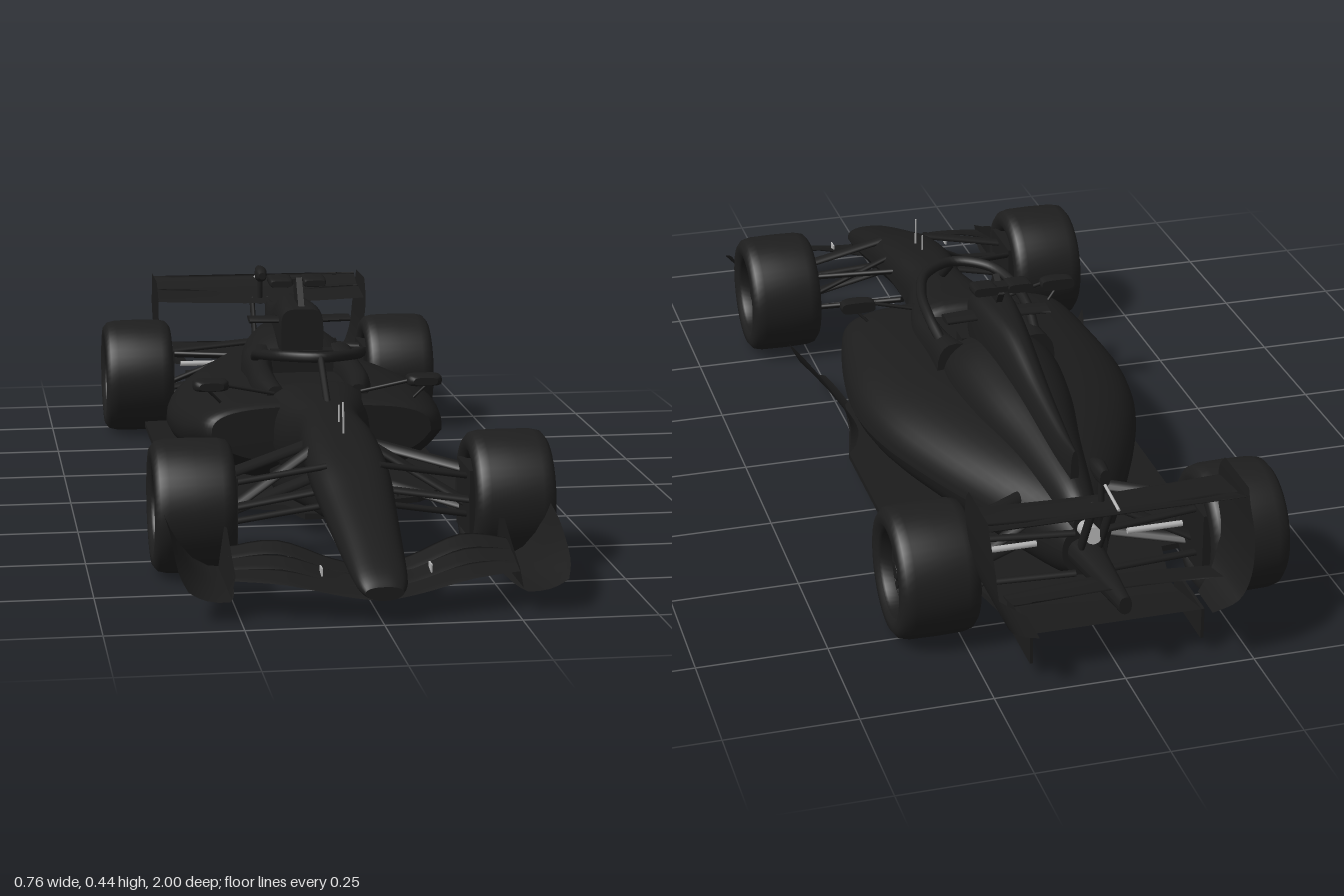
import * as THREE from 'three';

const mat = (name, color) => new THREE.MeshStandardMaterial({ name, color, side: THREE.DoubleSide });

// Catmull-Rom resampling of rows of numbers
function smooth(rows, steps) {
  const out = [], at = i => rows[Math.min(Math.max(i, 0), rows.length - 1)];
  for (let i = 0; i < rows.length - 1; i++) for (let s = 0; s < steps; s++) {
    const t = s / steps;
    out.push(rows[i].map((b, k) => {
      const a = at(i - 1)[k], c = at(i + 1)[k], d = at(i + 2)[k];
      return b + 0.5 * t * (c - a + t * (2 * a - 5 * b + 4 * c - d + t * (3 * (b - c) + d - a)));
    }));
  }
  return [...out, rows[rows.length - 1]];
}

// Surface through rows of [x, y, z] points
function sheet(rows) {
  const n = rows[0].length, idx = [];
  for (let i = 0; i < rows.length - 1; i++) for (let j = 0; j < n - 1; j++) {
    const a = i * n + j, b = a + n;
    idx.push(a, b, a + 1, b, b + 1, a + 1);
  }
  const g = new THREE.BufferGeometry();
  g.setAttribute('position', new THREE.Float32BufferAttribute(rows.flat(2), 3));
  g.setIndex(idx);
  g.computeVertexNormals();
  return g;
}

// Closes both ends of a stack of rings
function capped(rings) {
  const mid = r => { const c = [0, 1, 2].map(k => r.reduce((s, p) => s + p[k], 0) / r.length); return r.map(() => c); };
  const a = rings[0], b = rings[rings.length - 1];
  return sheet([mid(a), a, ...rings, b, mid(b)]);
}

// Lengthwise body: sections [z, centreX, halfWidth, yBottom, yTop, squareness, undercut]
function loft(sections, seg = 36) {
  const pw = (v, n) => Math.sign(v) * Math.abs(v) ** (2 / n);
  const rows = sections.map(s => [...s.slice(0, 6), s[6] ?? 0]);
  return capped(smooth(rows, 5).map(([z, cx, hw, yb, yt, n, cut]) =>
    Array.from({ length: seg + 1 }, (_, i) => {
      const a = i / seg * Math.PI * 2, v = pw(Math.sin(a), n);
      const k = v < 0 ? 1 + cut * v : 1;
      return [cx + pw(Math.cos(a), n) * hw * k, (yb + yt) / 2 + v * (yt - yb) / 2, z];
    })));
}

// Spanwise aerofoil: half stations [x, y, zLead, zTrail, rise], mirrored about x = 0
function wing(half, th) {
  const full = [...half.slice(1).reverse().map(([x, ...r]) => [-x, ...r]), ...half];
  return capped(smooth(full, 4).map(([x, y, zl, zt, rise]) =>
    Array.from({ length: 17 }, (_, i) => {
      const s = i <= 8 ? 1 : -1, u = i <= 8 ? i / 8 : (16 - i) / 8;
      return [x, y + rise * u ** 1.4 + s * th * Math.sqrt(u) * (1.1 - u), zl + (zt - zl) * u];
    })));
}

export function createModel() {
  const car = new THREE.Group();
  const carbon = mat('carbon', 0x1c1c1c), rubber = mat('rubber', 0x1e1e1e), metal = mat('bare metal', 0xb4b4b4);
  const add = (name, geo, m = carbon, parent = car) => {
    const o = new THREE.Mesh(geo, m);
    o.name = name;
    parent.add(o);
    return o;
  };
  const box = (name, w, h, d, x, y, z, m, p) => {
    const o = add(name, new THREE.BoxGeometry(w, h, d), m, p);
    o.position.set(x, y, z);
    return o;
  };
  const rod = (name, a, b, r, depth = 1, m = carbon) => {
    const A = new THREE.Vector3(...a), B = new THREE.Vector3(...b), d = B.clone().sub(A);
    const o = add(name, new THREE.CylinderGeometry(r, r, d.length(), 10), m);
    o.position.copy(A).add(B).multiplyScalar(0.5);
    o.quaternion.setFromUnitVectors(new THREE.Vector3(0, 1, 0), d.normalize());
    o.scale.z = depth;
  };
  const both = f => [1, -1].forEach(f);

  // Nose and cockpit tub
  add('nose and tub', loft([
    [1, 0, 0.035, 0.045, 0.07, 2.5, 0.2], [0.96, 0, 0.048, 0.04, 0.095, 2.5, 0.3], [0.85, 0, 0.058, 0.05, 0.138, 2.5, 0.4],
    [0.72, 0, 0.068, 0.075, 0.182, 2.6, 0.5], [0.6, 0, 0.076, 0.1, 0.22, 2.8, 0.5], [0.45, 0, 0.074, 0.12, 0.25, 3, 0.5],
    [0.32, 0, 0.068, 0.09, 0.26, 3, 0.5], [0.22, 0, 0.095, 0.05, 0.265, 3, 0.4], [0.11, 0, 0.12, 0.04, 0.268, 3, 0.2],
    [0.06, 0, 0.12, 0.04, 0.225, 3], [-0.1, 0, 0.12, 0.04, 0.225, 3], [-0.15, 0, 0.12, 0.04, 0.29, 3]]));
  add('keel', loft([[0.44, 0, 0.03, 0.11, 0.15, 3], [0.4, 0, 0.035, 0.05, 0.15, 3], [0.32, 0, 0.05, 0.04, 0.15, 3], [0.15, 0, 0.1, 0.03, 0.15, 3]]));

  // Sidepods and engine cover
  add('sidepods', loft([
    [0.205, 0, 0.225, 0.12, 0.235, 3.2, 0.2], [0.17, 0, 0.25, 0.1, 0.245, 3, 0.25], [0.05, 0, 0.275, 0.05, 0.25, 2.8, 0.25],
    [-0.1, 0, 0.288, 0.04, 0.25, 2.5, 0.15], [-0.25, 0, 0.268, 0.04, 0.25, 2.3, 0.1], [-0.4, 0, 0.215, 0.04, 0.245, 2.2, 0.08],
    [-0.55, 0, 0.145, 0.04, 0.235, 2.1, 0.05], [-0.68, 0, 0.075, 0.05, 0.215, 2], [-0.75, 0, 0.045, 0.08, 0.19, 2]], 48));
  add('engine cover', loft([
    [-0.1, 0, 0.105, 0.15, 0.295, 2.3], [-0.2, 0, 0.115, 0.15, 0.325, 2], [-0.35, 0, 0.1, 0.15, 0.315, 2],
    [-0.5, 0, 0.07, 0.15, 0.29, 2], [-0.68, 0, 0.04, 0.15, 0.25, 2], [-0.75, 0, 0.024, 0.16, 0.215, 2]]));
  add('airbox and spine', loft([
    [-0.09, 0, 0.045, 0.28, 0.383, 4], [-0.13, 0, 0.048, 0.25, 0.39, 3.6], [-0.22, 0, 0.045, 0.22, 0.39, 2.8],
    [-0.31, 0, 0.038, 0.22, 0.38, 2.3], [-0.45, 0, 0.028, 0.22, 0.342, 2.2], [-0.6, 0, 0.018, 0.21, 0.313, 2.2],
    [-0.68, 0, 0.008, 0.21, 0.307, 2.2]]));
  add('roll hoop winglet', wing([[0, 0.354, -0.11, -0.17, 0.002], [0.108, 0.354, -0.12, -0.175, 0.002]], 0.014));

  // Camera mast with cross bar
  box('camera mast', 0.013, 0.07, 0.05, 0, 0.4, -0.145).rotation.x = -0.6;
  both(s => add('camera pod', loft([
    [-0.15, s * 0.036, 0.022, 0.421, 0.434, 4], [-0.165, s * 0.036, 0.025, 0.419, 0.439, 4], [-0.205, s * 0.036, 0.025, 0.423, 0.441, 4]], 20)));
  box('camera bridge', 0.04, 0.012, 0.03, 0, 0.43, -0.18);

  // Cockpit
  both(s => add('cockpit side', loft([
    [0.14, s * 0.085, 0.02, 0.2, 0.265, 2.5], [0.05, s * 0.097, 0.028, 0.18, 0.278, 2.5],
    [-0.06, s * 0.095, 0.028, 0.18, 0.288, 2.5], [-0.15, s * 0.085, 0.04, 0.18, 0.3, 2.5]], 20)));
  box('headrest', 0.13, 0.07, 0.04, 0, 0.26, -0.1);
  box('steering wheel', 0.07, 0.035, 0.012, 0, 0.24, 0.07).rotation.x = -0.3;

  // Halo
  const hoop = new THREE.CatmullRomCurve3([
    [-0.1, 0.28, -0.09], [-0.106, 0.302, -0.02], [-0.1, 0.318, 0.07], [-0.07, 0.328, 0.145], [0, 0.331, 0.185],
    [0.07, 0.328, 0.145], [0.1, 0.318, 0.07], [0.106, 0.302, -0.02], [0.1, 0.28, -0.09]].map(p => new THREE.Vector3(...p)));
  add('halo hoop', new THREE.TubeGeometry(hoop, 64, 0.011, 10));
  rod('halo pillar', [0, 0.33, 0.185], [0, 0.25, 0.29], 0.007, 1.5);
  rod('pitot tube', [0, 0.24, 0.5], [0, 0.302, 0.495], 0.002, 1, metal);
  rod('nose sensor', [0, 0.24, 0.44], [0, 0.285, 0.44], 0.002, 1, metal);

  // Floor
  const outline = [[0.05, 0.32], [0.08, 0.24], [0.2, 0.205], [0.25, 0.15], [0.265, 0.05], [0.295, -0.07], [0.295, -0.61], [0.2, -0.62], [0.16, -0.8]];
  const shape = new THREE.Shape([...outline, ...outline.slice().reverse().map(([x, z]) => [-x, z])].map(p => new THREE.Vector2(...p)));
  add('floor', new THREE.ExtrudeGeometry(shape, { depth: 0.012, bevelEnabled: false }).rotateX(Math.PI / 2)).position.y = 0.04;
  add('diffuser', sheet([[-0.6, 0.03], [-0.75, 0.045], [-0.88, 0.075], [-0.95, 0.092]].map(([z, y]) => [-0.165, 0, 0.165].map(x => [x, y, z]))));
  both(s => {
    box('diffuser fence', 0.006, 0.062, 0.15, s * 0.165, 0.061, -0.875);
    add('floor edge wing', sheet(smooth([
      [0.315, 0.255, 0.335, 0.12], [0.25, 0.245, 0.318, 0.115], [0.15, 0.235, 0.288, 0.09], [0.04, 0.23, 0.268, 0.06], [-0.07, 0.23, 0.293, 0.04]], 4)
      .map(([z, xi, xo, y]) => [0, 0.35, 0.7, 0.9, 1].map(u => [s * (xi + (xo - xi) * u), 0.032 + (y - 0.032) * u ** 2.2, z]))));
    rod('floor stay', [s * 0.157, 0.022, 0.2], [s * 0.157, 0.06, 0.2], 0.002);

    // Mirrors
    add('mirror', loft([
      [0.17, s * 0.22, 0.025, 0.264, 0.28, 3], [0.155, s * 0.22, 0.036, 0.26, 0.284, 4], [0.13, s * 0.22, 0.036, 0.26, 0.284, 4]], 20));
    rod('mirror arm', [s * 0.19, 0.272, 0.15], [s * 0.09, 0.25, 0.14], 0.004);
    rod('mirror stay', [s * 0.225, 0.262, 0.15], [s * 0.2, 0.235, 0.14], 0.003);
  });

  // Front wing elements and curled endplates
  [0, 1, 2].forEach(i => add('front wing element', wing([
    [0, 0.042 + i * 0.008, 0.985 - i * 0.05, 0.925 - i * 0.045, 0.01], [0.07, 0.048 + i * 0.011, 0.972 - i * 0.045, 0.915 - i * 0.04, 0.012],
    [0.17, 0.066 + i * 0.017, 0.95 - i * 0.045, 0.895 - i * 0.042, 0.014], [0.26, 0.07 + i * 0.01, 0.925 - i * 0.042, 0.875 - i * 0.04, 0.01]], 0.006)));
  both(s => {
    add('front wing endplate', sheet(smooth([[0.95, 0.27, 0.345, 0.06], [0.9, 0.258, 0.358, 0.085], [0.8, 0.25, 0.362, 0.125], [0.7, 0.25, 0.365, 0.14]], 4)
      .map(([z, xi, xo, y]) => [0, 0.3, 0.55, 0.75, 0.9, 1].map(u => [s * (xi + (xo - xi) * u), 0.038 + (y - 0.038) * u ** 2.8, z]))));
    add('endplate riser', sheet([[0.93, 0.08], [0.86, 0.105], [0.79, 0.135], [0.74, 0.125], [0.71, 0.05]].map(([z, y]) => [[s * 0.266, 0.04, z], [s * 0.258, y, z]])));
    [[0.1, 0.9], [0.17, 0.88]].forEach(([x, z]) => box('flap bracket', 0.003, 0.02, 0.025, s * x, 0.075, z, metal));
  });

  // Rear wing
  add('rear wing main plane', wing([[0, 0.277, -0.8, -0.9, 0.014], [0.15, 0.281, -0.8, -0.9, 0.014], [0.243, 0.285, -0.8, -0.9, 0.014]], 0.008));
  add('rear wing flap', wing([[0, 0.291, -0.885, -0.96, 0.03], [0.243, 0.291, -0.885, -0.96, 0.03]], 0.005));
  add('beam wing', wing([[0, 0.14, -0.86, -0.95, 0.02], [0.2, 0.14, -0.88, -0.96, 0.02]], 0.005));
  both(s => {
    add('rear endplate', sheet(smooth([
      [0.33, 0.247, -0.82, -0.945], [0.3, 0.246, -0.795, -0.96], [0.25, 0.245, -0.795, -0.99], [0.18, 0.238, -0.83, -1],
      [0.13, 0.215, -0.86, -1], [0.112, 0.165, -0.92, -1]], 4).map(([y, x, a, b]) => [0, 0.33, 0.67, 1].map(u => [s * x, y, a + (b - a) * u]))));
    rod('wing pylon', [s * 0.018, 0.16, -0.78], [s * 0.018, 0.28, -0.85], 0.006, 2);
  });
  add('flap actuator', loft([[-0.79, 0, 0.008, 0.335, 0.35, 2.5], [-0.82, 0, 0.014, 0.325, 0.36, 2.5], [-0.86, 0, 0.01, 0.325, 0.358, 2.5]], 16));
  rod('actuator stem', [0, 0.27, -0.84], [0, 0.335, -0.835], 0.006);
  rod('actuator link', [0, 0.33, -0.84], [0, 0.318, -0.94], 0.003, 1, metal);
  add('rear crash structure', loft([[-0.74, 0, 0.035, 0.1, 0.16, 2.5], [-0.9, 0, 0.02, 0.12, 0.165, 2.5], [-0.99, 0, 0.012, 0.13, 0.165, 2.5]], 16));
  rod('exhaust', [0, 0.18, -0.74], [0, 0.19, -0.8], 0.017, 1, metal);

  // Suspension
  both(s => {
    [[0.62, 0.205, 0.6, 0.17], [0.43, 0.21, 0.54, 0.17], [0.62, 0.13, 0.6, 0.095], [0.43, 0.14, 0.54, 0.095], [0.6, 0.155, 0.63, 0.13], [0.5, 0.22, 0.57, 0.1]]
      .forEach(([z1, y1, z2, y2]) => rod('front suspension arm', [s * 0.05, y1, z1], [s * 0.25, y2, z2], 0.006, 2.2));
    [[-0.58, 0.19, -0.7, 0.18], [-0.78, 0.19, -0.73, 0.18], [-0.58, 0.09, -0.7, 0.09], [-0.79, 0.11, -0.74, 0.09], [-0.66, 0.2, -0.72, 0.1]]
      .forEach(([z1, y1, z2, y2]) => rod('rear suspension arm', [s * 0.03, y1, z1], [s * 0.25, y2, z2], 0.006, 2.2));
    rod('drive shaft', [s * 0.09, 0.15, -0.73], [s * 0.2, 0.15, -0.73], 0.006, 1, metal);
    box('front brake duct', 0.03, 0.13, 0.13, s * 0.236, 0.127, 0.577);
    box('rear brake duct', 0.03, 0.13, 0.13, s * 0.236, 0.127, -0.725);
  });

  // Wheels
  const profile = pts => new THREE.LatheGeometry(pts.map(p => new THREE.Vector2(...p)), 48);
  const tyre = profile([[0.084, -0.068], [0.095, -0.077], [0.112, -0.076], [0.123, -0.067], [0.127, -0.05], [0.128, 0],
    [0.127, 0.05], [0.123, 0.067], [0.112, 0.076], [0.095, 0.077], [0.084, 0.068]]);
  const rim = profile([[0.086, -0.07], [0.08, -0.066], [0.077, -0.05], [0.077, 0.045], [0.08, 0.066], [0.086, 0.07]]);
  both(s => [['front', 0.577], ['rear', -0.725]].forEach(([name, z]) => {
    const w = new THREE.Group();
    w.name = name + ' wheel';
    w.position.set(s * 0.303, 0.128, z);
    w.rotation.z = -s * Math.PI / 2;
    add('tyre', tyre, rubber, w);
    add('rim', rim, carbon, w);
    add('wheel disc', new THREE.CylinderGeometry(0.077, 0.077, 0.07, 40), carbon, w).position.y = 0.01;
    add('wheel ring', new THREE.TorusGeometry(0.066, 0.004, 8, 40).rotateX(Math.PI / 2), carbon, w).position.y = 0.045;
    add('hub nut', new THREE.CylinderGeometry(0.014, 0.024, 0.016, 20), carbon, w).position.y = 0.052;
    for (let i = 0; i < 10; i++) {
      const a = i / 10 * Math.PI * 2;
      box('spoke', 0.05, 0.006, 0.014, Math.cos(a) * 0.043, 0.046, Math.sin(a) * 0.043, carbon, w).rotation.y = -a;
    }
    car.add(w);
  }));
  return car;
}
